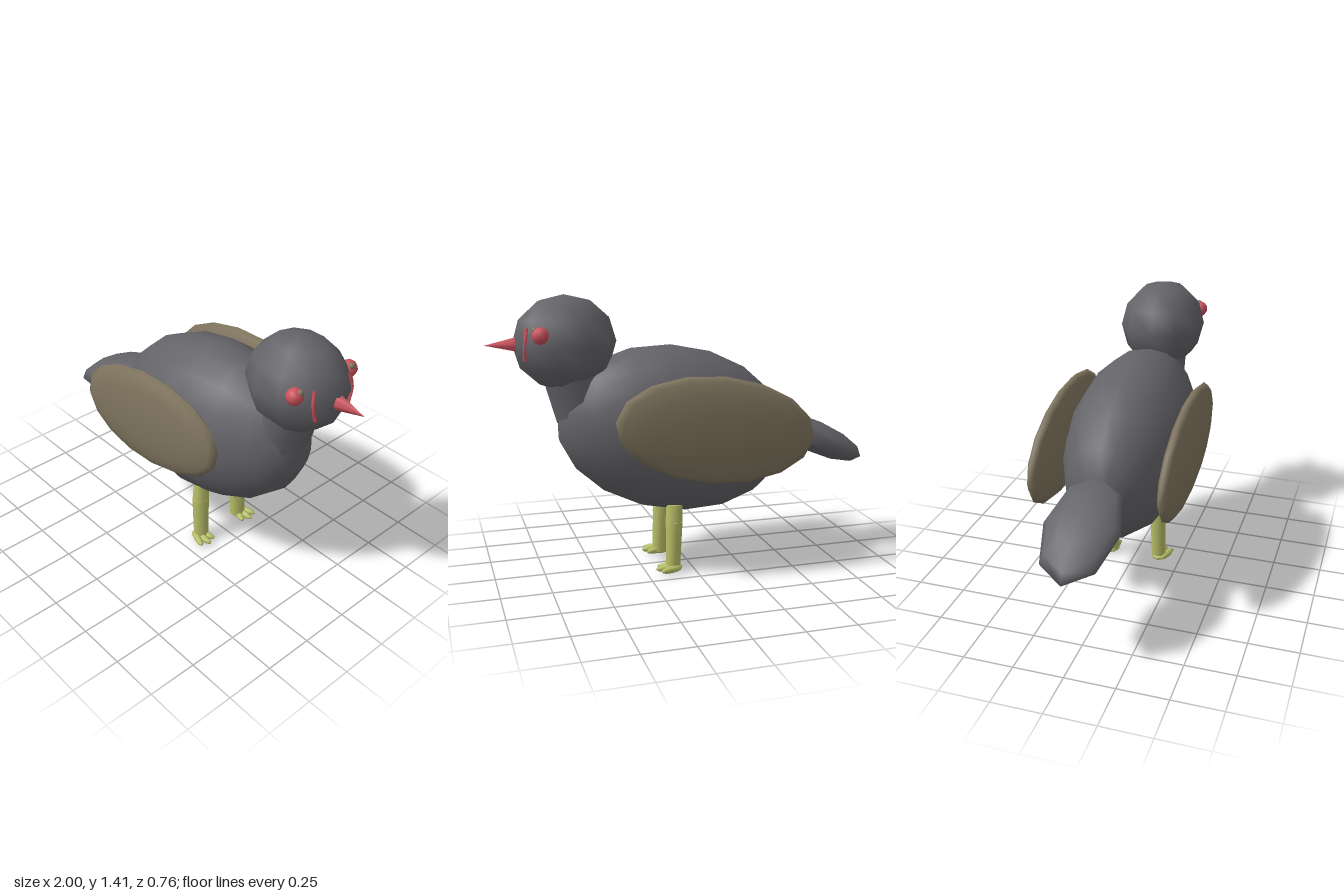
import * as THREE from 'three';

export function createModel() {
  const bird = new THREE.Group();
  bird.name = 'bird';
  const mat = (name, color) => Object.assign(new THREE.MeshStandardMaterial({ color }), { name });
  const plumage = mat('grey plumage', 0x646368);
  const wingBrown = mat('brown wing', 0x80755f);
  const red = mat('red', 0xca525c);
  const yellow = mat('yellow leg', 0xb9bf68);

  const add = (name, geo, material, x, y, z) => {
    const m = new THREE.Mesh(geo, material);
    m.name = name;
    m.position.set(x, y, z);
    bird.add(m);
    return m;
  };
  // Low-sided ellipsoid with its poles on the chosen axis
  const ellipsoid = (rx, ry, rz, around, rows, pole = 'y') => {
    const g = new THREE.SphereGeometry(1, around, rows);
    if (pole === 'x') g.rotateZ(-Math.PI / 2);
    if (pole === 'z') g.rotateX(Math.PI / 2);
    return g.scale(rx, ry, rz);
  };
  // Tapered cylinder between two points
  const limb = (name, a, b, ra, rb, sides, material) => {
    const from = new THREE.Vector3(...a), to = new THREE.Vector3(...b);
    const dir = to.clone().sub(from);
    const m = add(name, new THREE.CylinderGeometry(rb, ra, dir.length(), sides), material,
      ...from.clone().add(to).multiplyScalar(0.5).toArray());
    m.quaternion.setFromUnitVectors(new THREE.Vector3(0, 1, 0), dir.normalize());
    return m;
  };

  // Body, tail, neck and head
  add('body', ellipsoid(0.61, 0.425, 0.315, 18, 9, 'x'), plumage, 0.065, 0.727, 0).rotation.z = 0.2;
  add('tail', ellipsoid(0.31, 0.085, 0.187, 8, 6), plumage, -0.715, 0.63, 0).rotation.z = 0.44;
  limb('neck', [0.53, 0.83, 0], [0.6, 1.08, 0], 0.14, 0.14, 8, plumage);
  const head = new THREE.Vector3(0.615, 1.188, 0);
  add('head', ellipsoid(0.255, 0.232, 0.222, 10, 6), plumage, ...head.toArray());

  // Beak
  const beak = new THREE.ConeGeometry(0.042, 0.17, 6).rotateZ(-Math.PI / 2);
  add('beak', beak, red, 0.915, 1.187, 0);

  for (const s of [1, -1]) {
    const side = s > 0 ? 'right' : 'left';
    // Wing
    add(side + 'Wing', ellipsoid(0.51, 0.265, 0.058, 16, 8, 'z'), wingBrown, -0.065, 0.775, s * 0.32).rotation.z = 0.14;

    // Eye with a small dot
    add(side + 'Eye', new THREE.SphereGeometry(0.041, 10, 8), red, 0.755, 1.245, s * 0.172);
    add(side + 'EyeDot', new THREE.SphereGeometry(0.016, 8, 6), wingBrown, 0.778, 1.27, s * 0.163);

    // Cheek stripe following the head
    const points = [[1.275, 0.11], [1.2, 0.125], [1.12, 0.105]].map(([y, z]) => {
      const k = 1 - ((y - head.y) / 0.232) ** 2 - (z / 0.222) ** 2;
      return new THREE.Vector3(head.x + 0.25 * Math.sqrt(k), y, s * z);
    });
    add(side + 'CheekStripe', new THREE.TubeGeometry(new THREE.CatmullRomCurve3(points), 6, 0.009, 5), red, 0, 0, 0);

    // Leg: thigh, shin and three toes
    limb(side + 'Thigh', [0.1, 0.36, s * 0.122], [0.105, 0.24, s * 0.13], 0.042, 0.044, 8, yellow);
    limb(side + 'Shin', [0.103, 0.27, s * 0.13], [0.112, 0.025, s * 0.134], 0.044, 0.039, 8, yellow);
    for (const t of [-1, 0, 1]) {
      const toe = add(side + 'Toe', ellipsoid(0.062, 0.019, 0.019, 8, 6, 'x'), yellow,
        t ? 0.13 : 0.145, 0.03, s * 0.15 + t * 0.026);
      toe.rotation.y = -t * 0.3;
    }
    add(side + 'Foot', ellipsoid(0.045, 0.02, 0.042, 8, 6), yellow, 0.108, 0.028, s * 0.138);
  }
  return bird;
}
